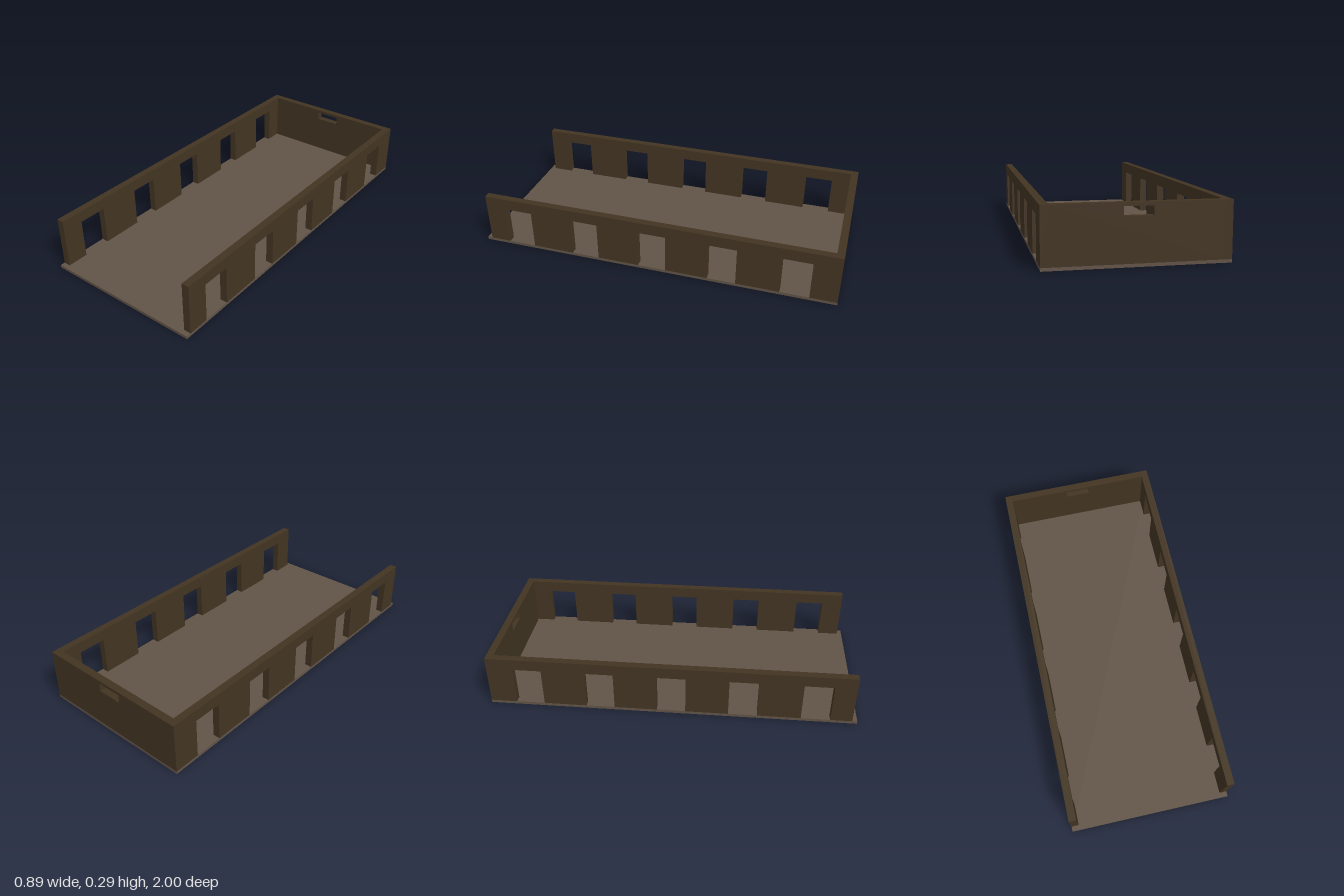
import * as THREE from 'three';

const HALF_W = 0.444, WALL = 0.04, FLOOR = 0.016, TOP = 0.295;
const BACK = -1, WALL_FRONT = 0.973, LINTEL = 0.232;
const DOOR_CENTRES = [-0.778, -0.388, 0, 0.388, 0.778], DOOR_HALF = 0.078;

export function createModel() {
  const model = new THREE.Group();
  const wallMaterial = new THREE.MeshStandardMaterial({ color: 0x423422 });
  wallMaterial.name = 'darkBrown';
  const floorMaterial = new THREE.MeshStandardMaterial({ color: 0x615347 });
  floorMaterial.name = 'greyBrown';

  const add = (name, geometry, material) => {
    const mesh = new THREE.Mesh(geometry, material);
    mesh.name = name;
    model.add(mesh);
  };

  // Floor slab, reaching slightly beyond the open front
  const floor = new THREE.BoxGeometry(HALF_W * 2, FLOOR, 2);
  floor.translate(0, FLOOR / 2, 0);
  add('floor', floor, floorMaterial);

  // Side walls: outline in (z, y) with doorways notched up from the floor
  const side = new THREE.Shape();
  side.moveTo(BACK, FLOOR);
  for (const z of DOOR_CENTRES) {
    side.lineTo(z - DOOR_HALF, FLOOR);
    side.lineTo(z - DOOR_HALF, LINTEL);
    side.lineTo(z + DOOR_HALF, LINTEL);
    side.lineTo(z + DOOR_HALF, FLOOR);
  }
  side.lineTo(WALL_FRONT, FLOOR);
  side.lineTo(WALL_FRONT, TOP);
  side.lineTo(BACK, TOP);
  side.closePath();
  for (const [name, outerX] of [['leftWall', HALF_W], ['rightWall', -HALF_W + WALL]]) {
    const wall = new THREE.ExtrudeGeometry(side, { depth: WALL, bevelEnabled: false });
    wall.rotateY(-Math.PI / 2);
    wall.translate(outerX, 0, 0);
    add(name, wall, wallMaterial);
  }

  // Back wall between the side walls, with a slot window near the top
  const innerX = HALF_W - WALL;
  const back = new THREE.Shape([
    new THREE.Vector2(-innerX, FLOOR), new THREE.Vector2(innerX, FLOOR),
    new THREE.Vector2(innerX, TOP), new THREE.Vector2(-innerX, TOP),
  ]);
  back.holes.push(new THREE.Path([
    new THREE.Vector2(-0.07, LINTEL), new THREE.Vector2(-0.07, 0.278),
    new THREE.Vector2(0.07, 0.278), new THREE.Vector2(0.07, LINTEL),
  ]));
  const backWall = new THREE.ExtrudeGeometry(back, { depth: WALL, bevelEnabled: false });
  backWall.translate(0, 0, BACK);
  add('backWall', backWall, wallMaterial);

  return model;
}
